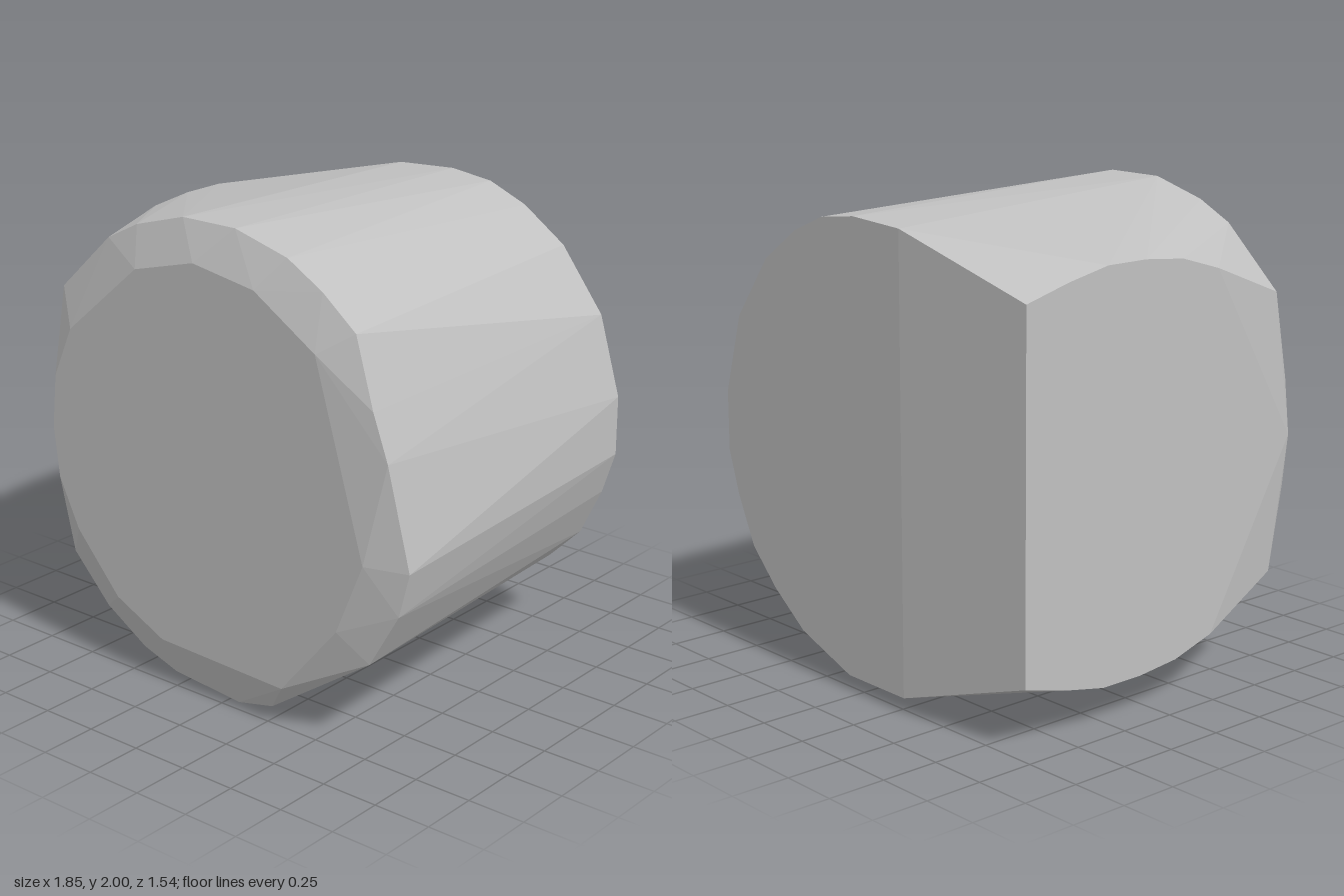
import * as THREE from 'three';
import { ConvexGeometry } from 'three/addons/geometries/ConvexGeometry.js';

// outlines [x, y], each at its own depth
const FRONT = [[-0.905, 1.0], [-0.88, 1.23], [-0.78, 1.45], [-0.4, 1.77], [-0.09, 1.85], [0.22, 1.8], [0.52, 1.61],
  [0.75, 0.82], [0.62, 0.51], [0.34, 0.18], [-0.31, 0.2], [-0.56, 0.32], [-0.78, 0.57], [-0.88, 0.78]];
const RIM = [[-0.2, 2], [0.07, 2], [0.33, 1.93], [0.5, 1.83], [0.66, 1.7], [0.92, 0.81], [0.87, 0.62], [0.73, 0.38],
  [0.23, 0.04], [0.05, 0], [-0.3, 0.03], [-0.48, 0.09], [-0.69, 0.22], [-0.88, 0.42], [-0.88, 1.6], [-0.61, 1.85], [-0.45, 1.93]];
const BACK = [[-0.28, 1.94], [0, 1.955], [0.2, 1.93], [0.38, 1.855], [0.58, 1.715], [0.78, 1.45], [0.88, 1.11],
  [0.88, 0.855], [0.82, 0.67], [0.72, 0.46], [0.57, 0.31], [0.38, 0.17], [0.07, 0.06], [-0.28, 0.06]];
// flat cut side: [z, half height], symmetric about mid height
const SIDE = [[-0.71, 0.735], [-0.5, 0.79], [-0.3, 0.83], [-0.1, 0.83], [0.1, 0.81], [0.3, 0.75]];

export function createModel() {
  const group = new THREE.Group();
  const stone = new THREE.MeshStandardMaterial({ color: 0xc0c0c0 });
  stone.name = 'light grey';

  const points = [];
  const ring = (outline, z) => outline.forEach(([x, y]) => points.push(new THREE.Vector3(x, y, z)));
  ring(FRONT, 0.77);
  ring(RIM, 0.7);
  ring([[0.77, 1.43], [0.84, 1.24]], 0.735); // raised part of the rim
  ring(BACK, -0.77);
  for (const [z, h] of SIDE) ring([[-0.93, 1 + h], [-0.93, 1 - h]], z);

  // faceted solid stretched over the outlines
  const block = new THREE.Mesh(new ConvexGeometry(points), stone);
  block.name = 'facetedBlock';
  group.add(block);
  return group;
}
